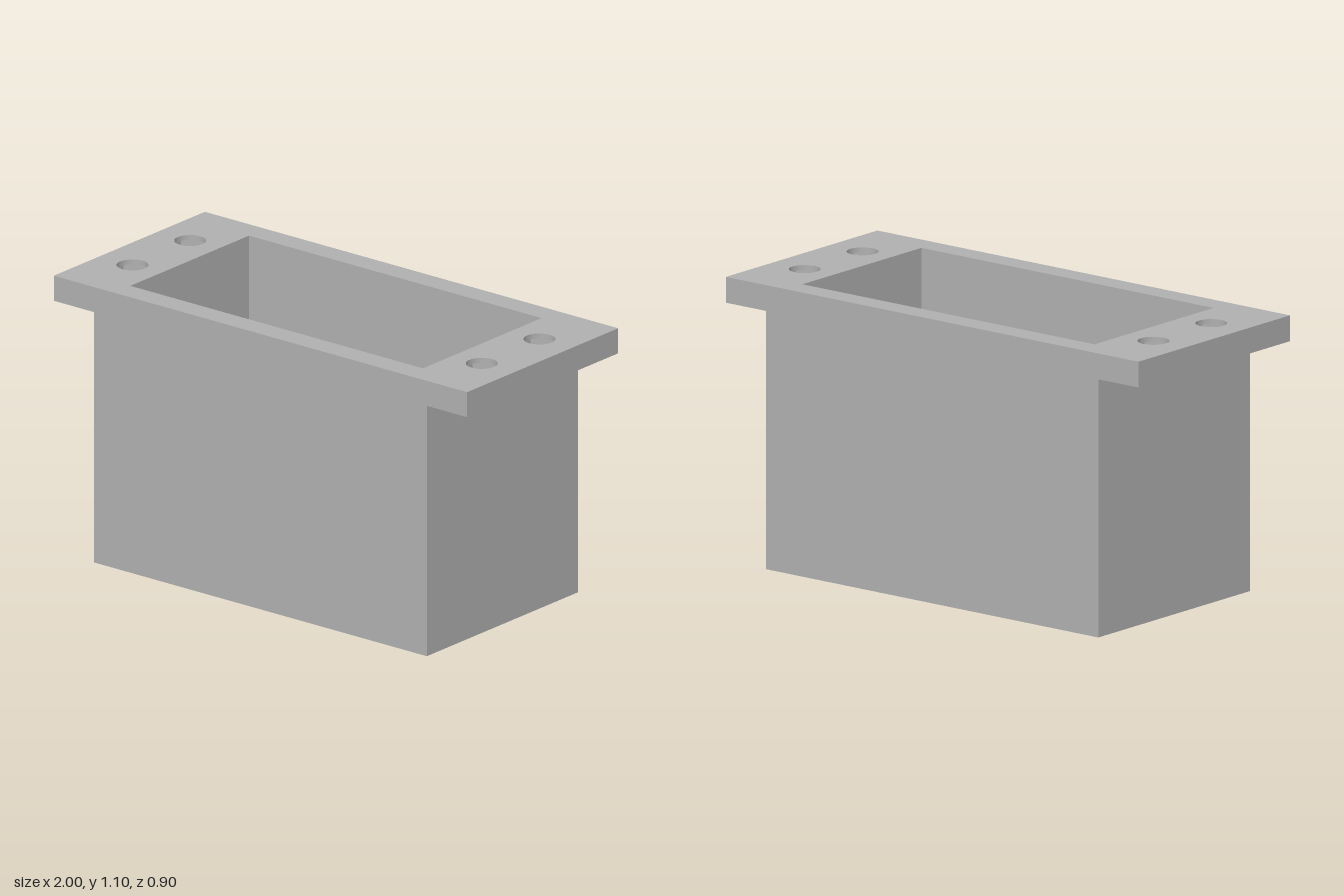
import * as THREE from 'three';
import { toCreasedNormals } from 'three/addons/utils/BufferGeometryUtils.js';

// Main sizes; plan points are (x, -z)
const BODY_X = 0.805, HALF_Z = 0.448, TOP = 1.1, RIM = 1, FLOOR = 0.1;
const NOTCH_Y = 0.964, LEDGE_Y = 1.08;
const HOLE_X = 0.845, HOLE_Z = 0.171, HOLE_R = 0.06, NUT_R = 0.097;

const p = (x, y) => new THREE.Vector2(x, y);
const rect = (x, y) => [p(-x, -y), p(x, -y), p(x, y), p(-x, y)];
const spin = (pts) => pts.map((v) => p(-v.x, -v.y)); // half turn about the centre
const flip = (pts) => [...pts].reverse();
const move = (pts, x, y) => pts.map((v) => p(v.x + x, v.y + y));

function arc(from, to, n) {
  return Array.from({ length: n + 1 }, (_, i) => {
    const a = from + ((to - from) * i) / n;
    return p(HOLE_R * Math.cos(a), HOLE_R * Math.sin(a));
  });
}

// Vertical walls along a closed plan path: counter-clockwise faces out, reversed faces in
function walls(pts, y0, y1) {
  const pos = [];
  pts.forEach((a, i) => {
    const b = pts[(i + 1) % pts.length];
    const q = [[a, y0], [b, y0], [b, y1], [a, y0], [b, y1], [a, y1]];
    q.forEach(([v, y]) => pos.push(v.x, y, -v.y));
  });
  const g = new THREE.BufferGeometry();
  g.setAttribute('position', new THREE.Float32BufferAttribute(pos, 3));
  return toCreasedNormals(g, 0.6);
}

// Horizontal face; downward faces mirror z, so their plans are symmetric or pre-mirrored
function face(pts, y, up = true, holes = []) {
  const outline = up ? pts : pts.map((v) => p(v.x, -v.y));
  const shape = new THREE.Shape(outline);
  holes.forEach((h) => shape.holes.push(new THREE.Path(up ? h : h.map((v) => p(v.x, -v.y)))));
  return new THREE.ShapeGeometry(shape).rotateX(up ? -Math.PI / 2 : Math.PI / 2).translate(0, y, 0);
}

export function createModel() {
  const model = new THREE.Group();
  const grey = new THREE.MeshStandardMaterial({ color: 0xb0b0b0 });
  grey.name = 'plain grey';
  const add = (name, ...geometries) => {
    const part = new THREE.Group();
    part.name = name;
    geometries.forEach((g) => {
      const mesh = new THREE.Mesh(g, grey);
      mesh.name = name;
      part.add(mesh);
    });
    model.add(part);
  };

  // Screw hole and nut pocket, each split where the body's end face crosses it
  const cut = BODY_X - HOLE_X;
  const a = Math.acos(cut / HOLE_R);
  const outerArc = arc(-a, a, 24);
  const innerArc = arc(a, 2 * Math.PI - a, 10);
  const circle = [...outerArc, ...innerArc.slice(1, -1)];
  const hx = NUT_R * Math.sqrt(0.75), hy = NUT_R / 2, h = NUT_R + cut / Math.sqrt(3);
  const hex = [p(0, -NUT_R), p(hx, -hy), p(hx, hy), p(0, NUT_R), p(-hx, hy), p(-hx, -hy)];
  const hexOuter = [p(cut, -h), ...hex.slice(0, 4), p(cut, h)];
  const hexInner = [p(cut, h), ...hex.slice(4), p(cut, -h)];

  const at = (pts, side) => move(pts, HOLE_X, side * HOLE_Z);
  const ends = [(pts) => pts, spin];
  const each = (pts) => ends.flatMap((e) => [-1, 1].map((s) => e(at(pts, s))));

  const cavity = rect(0.708, 0.352);
  const body = rect(BODY_X, HALF_Z);
  const flange = rect(1, HALF_Z);
  const drain = move(circle, -0.348, 0);

  // Mounting flange
  const tab = [p(BODY_X, -HALF_Z), p(1, -HALF_Z), p(1, HALF_Z), p(BODY_X, HALF_Z),
    ...flip(at(hexOuter, 1)), ...flip(at(hexOuter, -1))];
  add('flange',
    face(flange, TOP, true, [cavity, ...each(circle)]),
    walls(flange, RIM, TOP),
    ...ends.map((e) => face(e(tab), RIM, false)));

  // Screw holes, with hexagonal nut pockets below
  const holes = each(circle);
  add('screwHoles', ...holes.map((c) => walls(flip(c), LEDGE_Y, TOP)));
  add('nutPockets', ...each(hex).flatMap((x, i) => [
    walls(flip(x), RIM, LEDGE_Y),
    face(x, LEDGE_Y, false, [holes[i]]),
  ]));

  // Body with the ends of the screw holes cut into its upper edge
  const end = [p(BODY_X, -HALF_Z), ...flip(at(innerArc, -1)), ...flip(at(innerArc, 1)), p(BODY_X, HALF_Z)];
  add('body',
    walls(body, 0, NOTCH_Y),
    walls([...end, ...spin(end)], NOTCH_Y, RIM),
    face(body, 0, false, [drain]));
  add('notchFloors', ...each(innerArc).map((c) => face(c, NOTCH_Y)));
  add('pocketLedges', ...each([...hexInner, ...flip(innerArc)]).map((c) => face(c, RIM)));

  // Open cavity and the drain hole through its floor
  add('cavity', walls(flip(cavity), FLOOR, TOP), face(cavity, FLOOR, true, [drain]));
  add('drainHole', walls(flip(drain), 0, FLOOR));
  return model;
}
